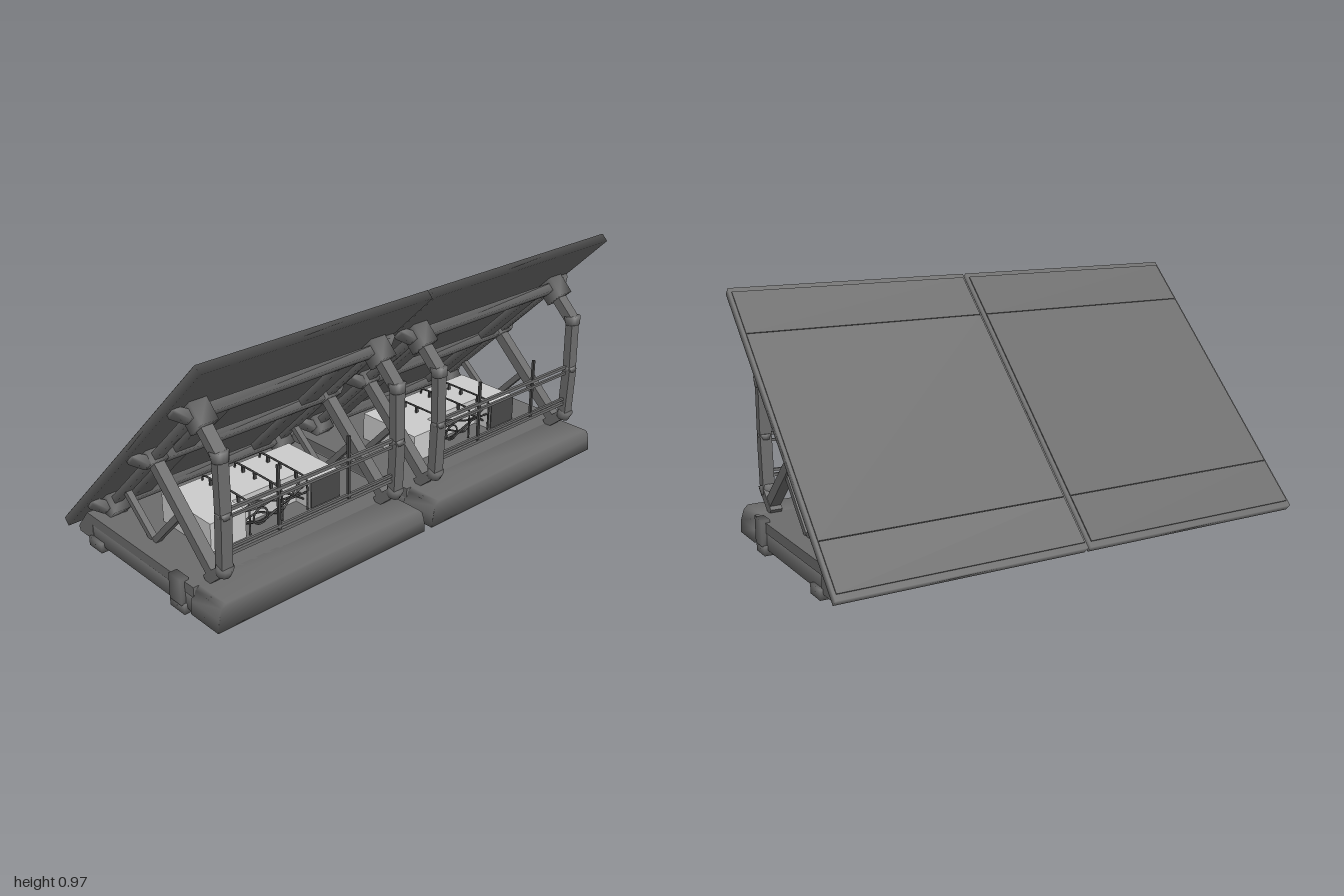
import * as THREE from 'three';
import { mergeVertices } from 'three/addons/utils/BufferGeometryUtils.js';

const dark = new THREE.MeshStandardMaterial({ color: 0x6c6c6c, flatShading: true });
const smooth = new THREE.MeshStandardMaterial({ color: 0x6c6c6c });
const black = new THREE.MeshStandardMaterial({ color: 0x484848, side: THREE.DoubleSide });
const pale = new THREE.MeshStandardMaterial({ color: 0xcccccc, flatShading: true });
const V = (x, y, z) => new THREE.Vector3(x, y, z);

function add(parent, name, geometry, material = dark) {
  const mesh = new THREE.Mesh(geometry, material);
  mesh.name = name;
  parent.add(mesh);
  return mesh;
}

// Part whose shading runs smoothly over its edges
function addSoft(parent, name, geometry) {
  geometry.deleteAttribute('normal');
  geometry.deleteAttribute('uv');
  const merged = mergeVertices(geometry);
  merged.computeVertexNormals();
  return add(parent, name, merged, smooth);
}

function box(parent, name, w, h, d, x, y, z, material) {
  add(parent, name, new THREE.BoxGeometry(w, h, d).translate(x, y, z), material);
}

function softBox(parent, name, w, h, d, x, y, z) {
  addSoft(parent, name, new THREE.BoxGeometry(w, h, d).translate(x, y, z));
}

// Rectangular bar from a to b
function bar(parent, name, a, b, w, h = w) {
  const mesh = add(parent, name, new THREE.BoxGeometry(w, h, a.distanceTo(b)));
  mesh.position.copy(a).lerp(b, 0.5);
  mesh.lookAt(b);
}

function pipe(parent, name, points, r) {
  const curve = new THREE.CatmullRomCurve3(points, false, 'catmullrom', 0.3);
  add(parent, name, new THREE.TubeGeometry(curve, 24, r, 6), black);
}

const outline = (pts) => new THREE.Shape(pts.map(([x, y]) => new THREE.Vector2(x, y)));
const extrude = (shape, depth) => new THREE.ExtrudeGeometry(shape, { depth, bevelEnabled: false });
// Plan outline given as x, z and extruded upwards from y0
const plan = (pts) => outline(pts.map(([x, z]) => [x, -z]));
const raise = (shape, y0, y1) => extrude(shape, y1 - y0).rotateX(-Math.PI / 2).translate(0, y0, 0);

// U-shaped footprint of the power unit, shrunk by t
const unitOutline = (t) => [
  [-0.3 + t, 0.195 - t], [-0.145 - t, 0.195 - t], [-0.145 - t, 0.115 - t], [0.155 + t, 0.115 - t],
  [0.155 + t, 0.195 - t], [0.3 - t, 0.195 - t], [0.3 - t, -0.1 + t], [-0.3 + t, -0.1 + t],
];

function createBase() {
  const g = new THREE.Group();
  g.name = 'base';
  // Front skirt with sloping ends
  addSoft(g, 'frontSkirt', extrude(outline([
    [-0.484, 0.02], [0.484, 0.02], [0.48, 0.07], [0.467, 0.11], [0.45, 0.125],
    [-0.45, 0.125], [-0.467, 0.11], [-0.48, 0.07],
  ]), 0.155).translate(0, 0, 0.32));
  // Sloped rear beam
  add(g, 'rearBeam', extrude(outline([
    [0.31, 0.02], [0.405, 0.02], [0.412, 0.04], [0.342, 0.125], [0.31, 0.125],
  ]), 0.95).rotateY(Math.PI / 2).translate(-0.475, 0, 0));
  // Deck with an opening for the power unit
  const deck = plan([[-0.475, 0.33], [0.475, 0.33], [0.475, -0.32], [-0.475, -0.32]]);
  deck.holes.push(plan(unitOutline(0.003)));
  add(g, 'deck', raise(deck, 0.085, 0.125));
  for (const z of [0.24, -0.14]) box(g, 'crossMember', 0.9, 0.03, 0.03, 0, 0.072, z);
  for (const s of [-1, 1]) {
    softBox(g, 'sideRail', 0.05, 0.07, 0.65, s * 0.448, 0.055, 0.005);
    box(g, 'innerRail', 0.03, 0.03, 0.38, s * 0.35, 0.072, 0.05);
    softBox(g, 'sideClamp', 0.035, 0.1, 0.068, s * 0.475, 0.085, 0.245);
  }
  return g;
}

function createPowerUnit() {
  const g = new THREE.Group();
  g.name = 'powerUnit';
  // Thick walls with a dark floor recessed from below
  const walls = plan(unitOutline(0));
  walls.holes.push(plan(unitOutline(0.022)));
  add(g, 'unitWalls', raise(walls, 0.075, 0.235), pale);
  add(g, 'unitFloor', raise(plan(unitOutline(0.021)), 0.12, 0.13), black);
  add(g, 'unitLid', raise(plan(unitOutline(0)), 0.23, 0.24), pale);
  box(g, 'frontGrille', 0.14, 0.11, 0.006, 0.228, 0.183, 0.197, black);
  // Cables in the recess
  for (let i = 0; i < 5; i++) {
    const y = 0.145 + i * 0.016, z = 0.14 + (i % 3) * 0.018;
    pipe(g, 'cable', [
      V(-0.145, y, z), V(-0.06, y + 0.03 * Math.cos(i * 2), z + 0.012),
      V(0.06, y - 0.018 * Math.cos(i * 2), z), V(0.155, 0.225 - i * 0.018, z),
    ], 0.004);
  }
  add(g, 'cableLoop', new THREE.TorusGeometry(0.032, 0.004, 6, 20).translate(-0.07, 0.18, 0.185), black);
  // Conduits over the lid
  for (const x of [-0.13, 0.02, 0.14]) {
    pipe(g, 'conduit', [
      V(x, 0.13, 0.198), V(x, 0.245, 0.198), V(x, 0.264, 0.182), V(x, 0.266, 0.05),
      V(x, 0.264, -0.07), V(x, 0.24, -0.083),
    ], 0.004);
    for (const z of [0.135, 0.04, -0.03]) box(g, 'conduitClip', 0.012, 0.026, 0.008, x, 0.252, z, black);
  }
  return g;
}

function createPanel() {
  const g = new THREE.Group();
  g.name = 'tiltedPanel';
  g.position.set(0, 0.5005, -0.006);
  g.rotation.x = -Math.PI / 4;
  softBox(g, 'panelSlab', 0.994, 0.035, 1.3, 0, 0, 0);
  // Slightly raised skin in three bands
  for (const [z, d] of [[0.531, 0.194], [0, 0.862], [-0.531, 0.194]])
    box(g, 'panelSkin', 0.976, 0.012, d, 0, 0.0165, z);
  // Cross tubes with splayed ends that reach the slab
  const tube = outline([
    [-0.485, -0.012], [-0.485, -0.03], [-0.44, -0.067], [0.44, -0.067], [0.485, -0.03],
    [0.485, -0.012], [0.46, -0.012], [0.43, -0.032], [-0.43, -0.032], [-0.46, -0.012],
  ]);
  for (const [z, hub] of [[0.374, 0.086], [-0.004, 0.052], [-0.43, 0.076]]) {
    addSoft(g, 'crossTube', extrude(tube, 0.046).translate(0, 0, z - 0.023));
    for (const s of [-1, 1]) softBox(g, 'tubeBracket', 0.07, hub, hub, s * 0.395, -0.0165 - hub / 2, z);
  }
  // Stringers below the slab
  for (const s of [-1, 1]) {
    softBox(g, 'stringer', 0.08, 0.028, 0.8, s * 0.285, -0.045, -0.034);
    softBox(g, 'sideStringer', 0.035, 0.028, 0.8, s * 0.395, -0.045, -0.034);
  }
  return g;
}

function createSupports() {
  const g = new THREE.Group();
  g.name = 'supports';
  for (const s of [-1, 1]) {
    const x = s * 0.395;
    // Jointed front post
    const knots = [V(x, 0.125, 0.32), V(x, 0.195, 0.4), V(x, 0.405, 0.408), V(x, 0.618, 0.404), V(x, 0.72, 0.3)];
    for (let i = 0; i < 4; i++) bar(g, 'postSegment', knots[i], knots[i + 1], 0.046, i === 2 ? 0.033 : 0.038);
    for (const [i, r, h, tilt] of [[1, 0.032, 0.036, 0.35], [2, 0.027, 0.022, 0], [3, 0.034, 0.036, -0.15]])
      addSoft(g, 'postCollar', new THREE.CylinderGeometry(r, r * 0.85, h, 12)
        .rotateX(tilt).translate(...knots[i].toArray()));
    // Main strut and its two braces, in line with the post
    bar(g, 'mainStrut', V(x, 0.16, 0.342), V(x, 0.455, 0.025), 0.042);
    bar(g, 'frontBrace', V(x, 0.31, 0.17), V(x, 0.125, -0.005), 0.024);
    bar(g, 'rearBrace', V(x, 0.265, -0.19), V(x, 0.125, -0.02), 0.024);
    // Thin uprights between the rails
    box(g, 'thinUpright', 0.01, 0.26, 0.01, s * 0.16, 0.375, 0.403, black);
  }
  // Rails between the two posts
  for (const [y, t] of [[0.415, 0.012], [0.388, 0.01], [0.27, 0.01], [0.25, 0.012]])
    box(g, 'crossRail', 0.76, t, t, 0, y, 0.403);
  return g;
}

export function createModel() {
  const model = new THREE.Group();
  model.name = 'twinSolarArray';
  for (const s of [-1, 1]) {
    const unit = new THREE.Group();
    unit.name = s > 0 ? 'leftModule' : 'rightModule';
    unit.position.x = s * 0.503;
    unit.add(createBase(), createPowerUnit(), createSupports(), createPanel());
    model.add(unit);
  }
  // Long skids carrying both modules
  for (const z of [0.245, -0.28]) {
    softBox(model, 'skid', 1.98, 0.038, 0.084, 0, 0.019, z);
    box(model, 'jointPlate', 0.1, 0.05, 0.05, 0, 0.06, z);
  }
  return model;
}
